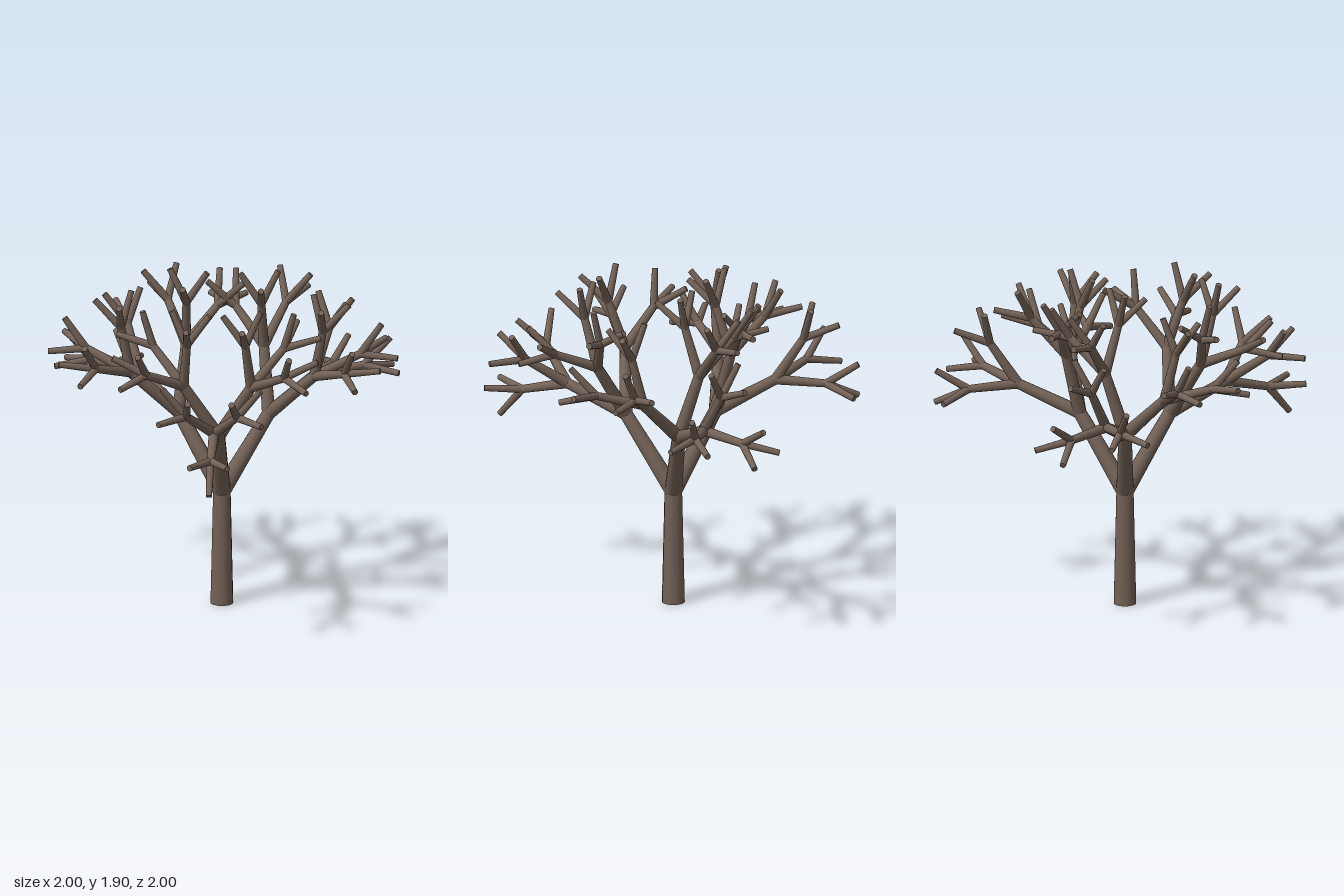
import * as THREE from 'three';

const NAMES = ['trunk', 'mainBranch', 'subBranch', 'twig', 'tip'];
const TRUNK_LENGTH = 0.654;
const BRANCH_LENGTH = 0.508;
const TRUNK_RADIUS = 0.065;
const LENGTH_RATIO = 0.75;
const RADIUS_RATIO = 0.767;
const SPREAD = THREE.MathUtils.degToRad(35);
const UP = new THREE.Vector3(0, 1, 0);

export function createModel() {
  const model = new THREE.Group();
  const tree = new THREE.Group();
  tree.name = 'tree';
  tree.position.set(0.09, 0, 0.09); // the crown, not the trunk, is centred
  model.add(tree);
  const bark = new THREE.MeshStandardMaterial({ color: 0x726156 });

  // One tapered limb per level, shared by all limbs of that level
  const limbs = NAMES.map((name, i) => {
    const length = i === 0 ? TRUNK_LENGTH : BRANCH_LENGTH * LENGTH_RATIO ** (i - 1);
    const radius = TRUNK_RADIUS * RADIUS_RATIO ** i;
    const geometry = new THREE.CylinderGeometry(radius * RADIUS_RATIO, radius, length, 12);
    geometry.translate(0, length / 2, 0);
    return { name, length, geometry };
  });

  // Each limb forks into three, spread evenly around its own axis;
  // the first fork bends towards the vector "lean"
  function grow(level, start, dir, lean) {
    const { name, length, geometry } = limbs[level];
    const mesh = new THREE.Mesh(geometry, bark);
    mesh.name = name;
    mesh.position.copy(start);
    mesh.quaternion.setFromUnitVectors(UP, dir);
    tree.add(mesh);
    if (level === NAMES.length - 1) return;

    const end = start.clone().addScaledVector(dir, length);
    const axis = new THREE.Vector3().crossVectors(dir, lean).normalize();
    const first = dir.clone().applyAxisAngle(axis, SPREAD);
    // All three forks share the lean carried along by the first one
    const nextLean = new THREE.Vector3().crossVectors(axis, first);
    for (let i = 0; i < 3; i++) {
      const fork = first.clone().applyAxisAngle(dir, (i * Math.PI * 2) / 3);
      grow(level + 1, end, fork, nextLean);
    }
  }
  grow(0, new THREE.Vector3(), UP, new THREE.Vector3(1, 0, 1));

  return model;
}
